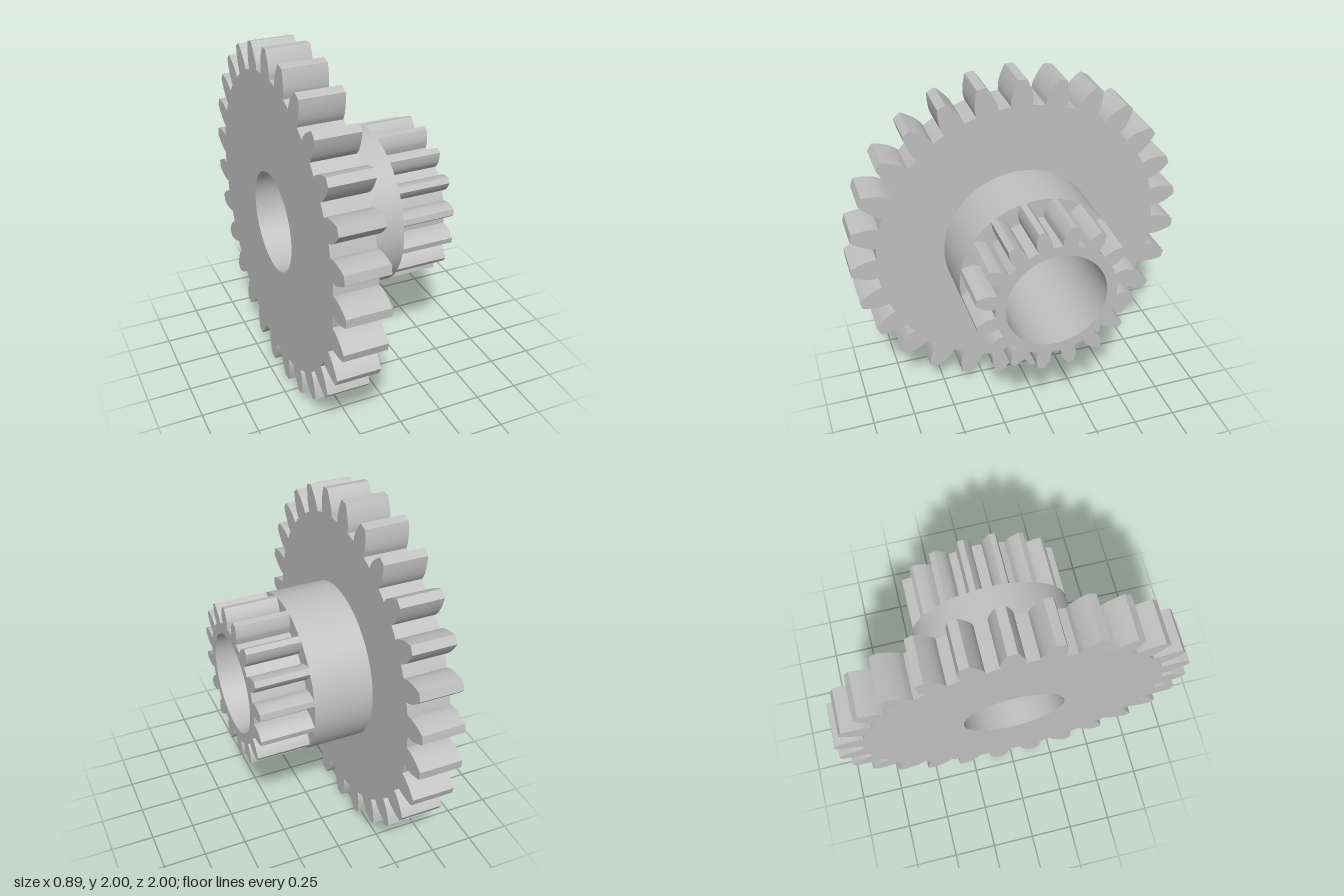
import * as THREE from 'three';
import { toCreasedNormals } from 'three/addons/utils/BufferGeometryUtils.js';

const BORE = 0.288;
const involute = (a) => Math.tan(a) - a;

// Outline of an involute gear with a 20 degree pressure angle
function gearShape(teeth, tip, root, phase) {
  const pitch = (tip * teeth) / (teeth + 2);
  const base = pitch * Math.cos(THREE.MathUtils.degToRad(20));
  const halfAtBase = Math.PI / (2 * teeth) + involute(THREE.MathUtils.degToRad(20));
  const halfAngle = (r) => halfAtBase - involute(Math.acos(Math.min(1, base / r)));

  const flank = [[root, halfAtBase]];
  const steps = 7;
  for (let i = 0; i <= steps; i++) {
    const r = base + (tip - base) * (i / steps) ** 1.4;
    flank.push([r, halfAngle(r)]);
  }

  const points = [];
  const add = (r, a) => points.push(new THREE.Vector2(r * Math.cos(a), r * Math.sin(a)));
  for (let t = 0; t < teeth; t++) {
    const centre = phase + (t * 2 * Math.PI) / teeth;
    flank.forEach(([r, h]) => add(r, centre - h));
    add(tip, centre);
    [...flank].reverse().forEach(([r, h]) => add(r, centre + h));
    add(root, centre + Math.PI / teeth); // middle of the gap
  }
  return new THREE.Shape(points);
}

// Bores a shape and extrudes it along x from x0 to x1
function boredPart(name, shape, x0, x1, material) {
  const hole = new THREE.Path();
  hole.absarc(0, 0, BORE, 0, Math.PI * 2, true);
  shape.holes.push(hole);
  const extruded = new THREE.ExtrudeGeometry(shape, {
    depth: x1 - x0, bevelEnabled: false, curveSegments: 72,
  });
  extruded.rotateY(Math.PI / 2);
  extruded.translate(x0, 1, 0);
  const mesh = new THREE.Mesh(toCreasedNormals(extruded, 0.45), material);
  mesh.name = name;
  return mesh;
}

export function createModel() {
  const group = new THREE.Group();
  group.name = 'doubleGear';
  const steel = new THREE.MeshStandardMaterial({ color: 0xc0c0c0 });
  steel.name = 'grey steel';

  // Large wheel, 27 teeth
  const largePhase = THREE.MathUtils.degToRad(90 - 1.5);
  group.add(boredPart('largeGear', gearShape(27, 1, 0.85, largePhase), -0.445, -0.2, steel));

  // Plain round collar
  const collar = new THREE.Shape();
  collar.absarc(0, 0, 0.456, 0, Math.PI * 2, false);
  group.add(boredPart('collar', collar, -0.2, 0.14, steel));

  // Small pinion, 16 teeth, with gaps on the axes
  group.add(boredPart('smallGear', gearShape(16, 0.456, 0.347, Math.PI / 16), 0.14, 0.445, steel));

  return group;
}
